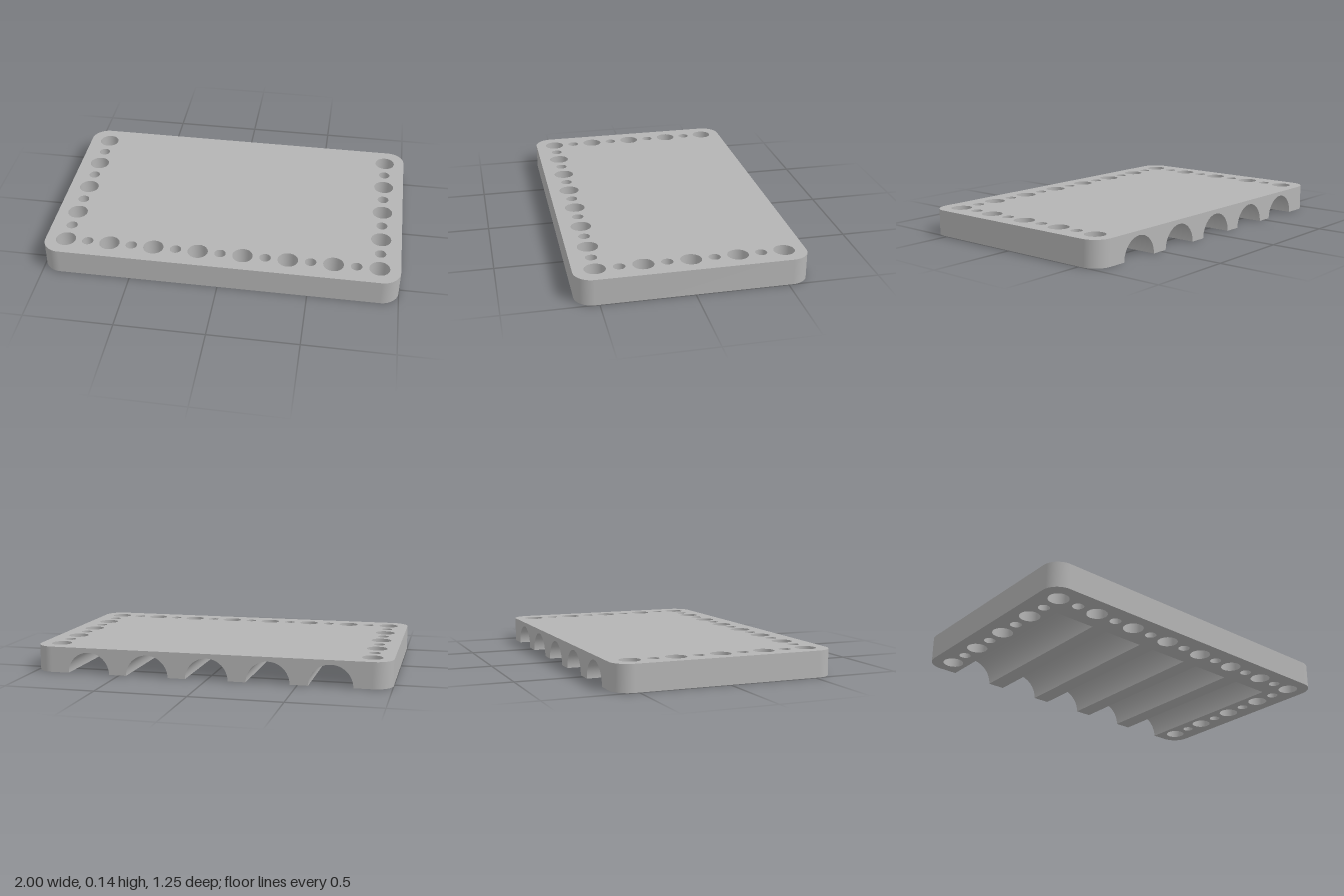
import * as THREE from 'three';

const W = 1, D = 0.6225, H = 0.145;        // half width, half depth, height
const CORNER = 0.1, PITCH = 0.2525;        // corner radius, large hole spacing
const BIG = 0.057, SMALL = 0.032;          // hole radii
const GROOVE_R = 0.12, GROOVE_END = 0.375; // grooves run from the back edge to here
const grooveX = [-2, -1, 0, 1, 2].map(i => i * 0.339);
const DIV = 12, SEG = DIV * 2;

// Alternating large and small holes along both sides and the front
function holeList() {
  const list = [];
  for (let i = 0; i <= 14; i++) {
    list.push([(i - 7) * PITCH / 2, 2 * PITCH, i % 2 ? SMALL : BIG]);
  }
  for (const side of [-1, 1]) {
    for (let i = 0; i < 8; i++) {
      list.push([side * 3.5 * PITCH, (i - 4) * PITCH / 2, i % 2 ? SMALL : BIG]);
    }
  }
  return list;
}

// Rounded sides and front, from the back right corner round to the back left one;
// f flips z for the upward-facing plan
function addCorners(path, f) {
  const x = W - CORNER, z = D - CORNER;
  const corners = [[x, -z], [x, z], [-x, z], [-x, -z]];
  corners.forEach(([cx, cz], i) => {
    const a = (i - 1) * Math.PI / 2;
    path.absarc(cx, f * cz, CORNER, f * a, f * (a + Math.PI / 2), f < 0);
  });
  return path;
}

// Plan of the plate with its holes, optionally cut by the grooves
function plan(f, grooves) {
  const shape = new THREE.Shape();
  shape.moveTo(CORNER - W, -f * D);
  if (grooves) {
    for (const c of grooveX) {
      shape.lineTo(c - GROOVE_R, -f * D);
      shape.lineTo(c - GROOVE_R, f * GROOVE_END);
      shape.lineTo(c + GROOVE_R, f * GROOVE_END);
      shape.lineTo(c + GROOVE_R, -f * D);
    }
  }
  addCorners(shape, f);
  for (const [x, z, r] of holeList()) {
    shape.holes.push(new THREE.Path().absarc(x, f * z, r, 0, Math.PI * 2, false));
  }
  return new THREE.ShapeGeometry(shape, DIV);
}

// Smooth outer wall along the sides and front
function outerWall() {
  const points = addCorners(new THREE.Path(), 1).getPoints(DIV);
  const pos = [], index = [];
  points.forEach((p, i) => {
    pos.push(p.x, 0, p.y, p.x, H, p.y);
    if (i) {
      const a = 2 * i - 2;
      index.push(a, a + 1, a + 2, a + 2, a + 1, a + 3);
    }
  });
  const geo = new THREE.BufferGeometry();
  geo.setAttribute('position', new THREE.Float32BufferAttribute(pos, 3));
  geo.setIndex(index);
  geo.computeVertexNormals();
  return geo;
}

// Back wall with a half-round opening for each groove
function backWall() {
  const x = W - CORNER;
  const shape = new THREE.Shape();
  shape.moveTo(-x, 0);
  for (const c of grooveX) {
    shape.lineTo(c - GROOVE_R, 0);
    shape.absarc(c, 0, GROOVE_R, Math.PI, 0, true);
  }
  shape.lineTo(x, 0);
  shape.lineTo(x, H);
  shape.lineTo(-x, H);
  return new THREE.ShapeGeometry(shape, DIV).rotateY(Math.PI);
}

// Turns a surface to face inward
function inward(geo) {
  geo.index.array.reverse();
  const n = geo.attributes.normal;
  for (let i = 0; i < n.count; i++) n.setXYZ(i, -n.getX(i), -n.getY(i), -n.getZ(i));
  return geo;
}

export function createModel() {
  const grey = new THREE.MeshStandardMaterial({ color: 0xb4b4b4 });
  grey.name = 'grey';
  const model = new THREE.Group();
  model.name = 'groovedPlate';

  const add = (parent, name, geo, x = 0, y = 0, z = 0) => {
    const mesh = new THREE.Mesh(geo, grey);
    mesh.name = name;
    mesh.position.set(x, y, z);
    parent.add(mesh);
  };

  // Faces and walls of the plate
  add(model, 'topFace', plan(-1, false).rotateX(-Math.PI / 2), 0, H, 0);
  add(model, 'bottomFace', plan(1, true).rotateX(Math.PI / 2));
  add(model, 'outerWall', outerWall());
  add(model, 'backWall', backWall(), 0, 0, -D);

  // Through holes
  const holes = new THREE.Group();
  holes.name = 'holes';
  model.add(holes);
  for (const [x, z, r] of holeList()) {
    const geo = new THREE.CylinderGeometry(r, r, H, SEG, 1, true);
    add(holes, r === BIG ? 'largeHole' : 'smallHole', inward(geo), x, H / 2, z);
  }

  // Half-round grooves in the underside, open at the back
  const grooves = new THREE.Group();
  grooves.name = 'grooves';
  model.add(grooves);
  const length = GROOVE_END + D;
  for (const x of grooveX) {
    const geo = new THREE.CylinderGeometry(GROOVE_R, GROOVE_R, length, SEG, 1, true, -Math.PI / 2, Math.PI);
    add(grooves, 'groove', inward(geo.rotateX(-Math.PI / 2)), x, 0, (GROOVE_END - D) / 2);
    const end = new THREE.CircleGeometry(GROOVE_R, SEG, 0, Math.PI).rotateY(Math.PI);
    add(grooves, 'grooveEnd', end, x, 0, GROOVE_END);
  }
  return model;
}
